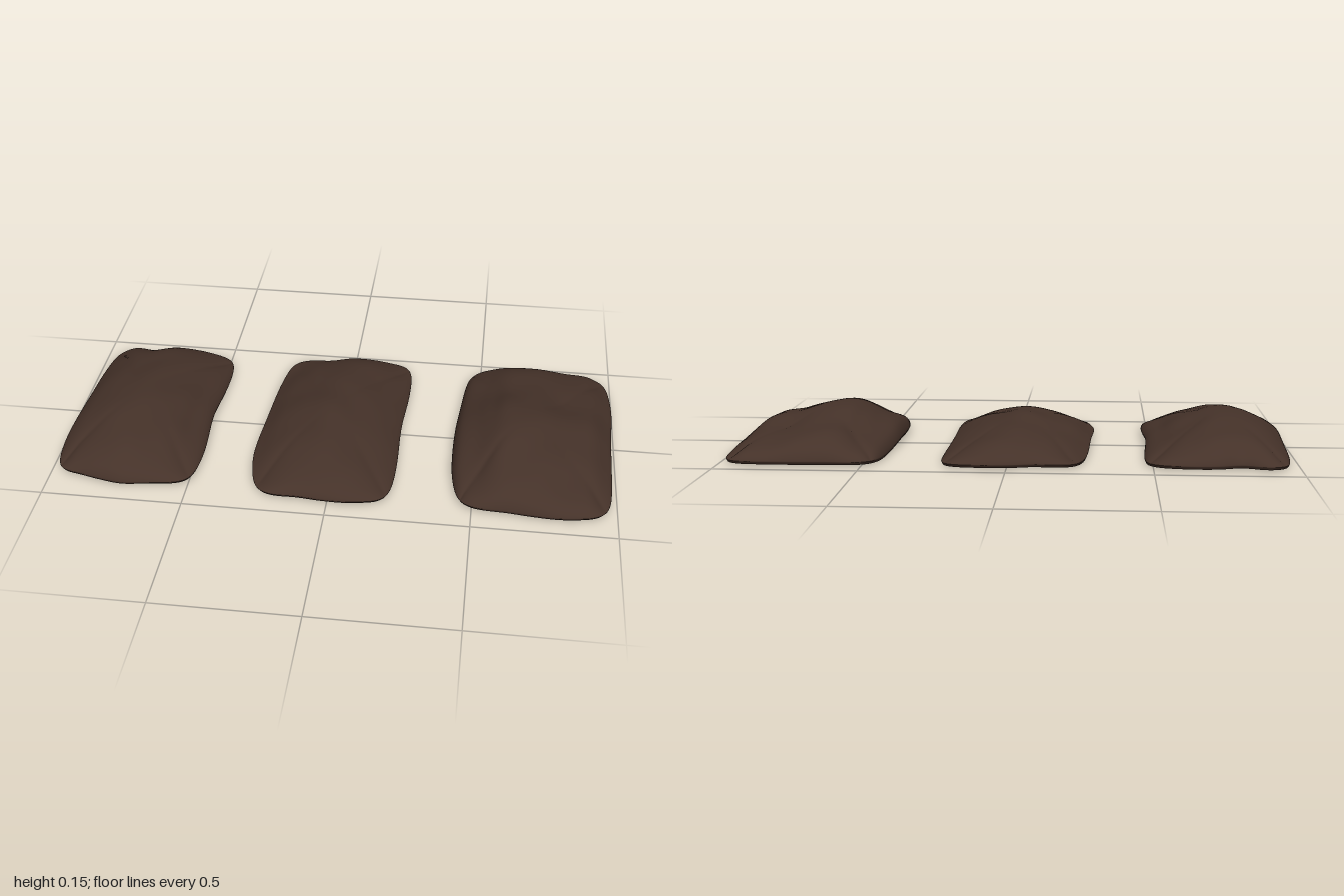
import * as THREE from 'three';
import { mergeVertices } from 'three/addons/utils/BufferGeometryUtils.js';

const material = new THREE.MeshStandardMaterial({ color: 0x453229 });

// Smooth function over s = -1..1 through evenly spaced values
function profile(values) {
  const curve = new THREE.SplineCurve(values.map((v, i) => new THREE.Vector2(i, v)));
  return s => curve.getPoint(THREE.MathUtils.clamp((s + 1) / 2, 0, 1)).y;
}

// Underside height from back to front
const underside = profile([0.006, 0.001, 0.006, 0.015, 0.014, 0.011, 0.011]);

// Each mound: outline edges (left/right over z, back/front over x) and height
// profiles sampled at u = sin(s * PI / 2), so they are dense near the rim
const mounds = [
  {
    name: 'rightMound', seed: 1.3,
    minX: [-0.965, -0.98, -0.985, -0.995, -0.985], maxX: [-0.47, -0.475, -0.485, -0.475, -0.48],
    back: [-0.425, -0.43, -0.405, -0.43, -0.435, -0.425, -0.41], front: [0.395, 0.4, 0.42, 0.435, 0.425, 0.415, 0.405],
    across: [0.02, 0.05, 0.09, 0.122, 0.132, 0.108, 0.077, 0.045, 0.02],
    along: [0, 0.4, 0.8, 0.95, 1, 0.95, 0.75, 0.4, 0],
    dent: [-0.54, 0.02, 0.03, 0.25, -0.01],
  },
  {
    name: 'middleMound', seed: 2.9,
    minX: [-0.255, -0.275, -0.285, -0.295, -0.27], maxX: [0.235, 0.232, 0.222, 0.225, 0.22],
    back: [-0.43, -0.435, -0.43, -0.45, -0.455, -0.45, -0.445], front: [0.425, 0.435, 0.435, 0.443, 0.445, 0.435, 0.425],
    across: [0.02, 0.035, 0.067, 0.097, 0.115, 0.1, 0.07, 0.04, 0.02],
    along: [0, 0.4, 0.8, 0.95, 1, 0.95, 0.75, 0.4, 0],
    dent: [0.06, 0.1, 0.05, 0.2, -0.005],
  },
  {
    name: 'leftMound', seed: 4.6,
    minX: [0.45, 0.435, 0.42, 0.42, 0.44], maxX: [0.99, 1.0, 0.99, 0.985, 0.98],
    back: [-0.43, -0.44, -0.44, -0.445, -0.445, -0.443, -0.435], front: [0.415, 0.425, 0.43, 0.44, 0.445, 0.435, 0.42],
    across: [0.02, 0.065, 0.097, 0.143, 0.138, 0.106, 0.09, 0.045, 0.02],
    along: [0, 0.42, 0.72, 0.82, 1, 0.94, 0.7, 0.4, 0],
    dent: [0.56, -0.08, 0.025, 0.12, -0.007],
  },
];

function moundGeometry(m) {
  const [minX, maxX, back, front, across, along] =
    [m.minX, m.maxX, m.back, m.front, m.across, m.along].map(profile);
  const box = new THREE.BoxGeometry(2, 1, 2, 56, 1, 72);
  box.deleteAttribute('uv');
  box.deleteAttribute('normal');
  const geometry = mergeVertices(box);
  const pos = geometry.attributes.position;
  const [dx, dz, wx, wz, depth] = m.dent;

  for (let i = 0; i < pos.count; i++) {
    const s = pos.getX(i), t = pos.getZ(i), top = pos.getY(i) > 0;
    let u = Math.sin(s * Math.PI / 2), v = Math.sin(t * Math.PI / 2);

    // Round the corners of the slab
    const n = 9, norm = Math.pow(Math.abs(u) ** n + Math.abs(v) ** n, 1 / n);
    let k = norm > 0 ? Math.max(Math.abs(u), Math.abs(v)) / norm : 1;
    if (!top) k *= 0.985;
    u *= k;
    v *= k;
    const x = THREE.MathUtils.lerp(minX(v), maxX(v), (u + 1) / 2);
    const z = THREE.MathUtils.lerp(back(u), front(u), (v + 1) / 2);

    let y = underside(v);
    if (top) {
      // Dome, soft lengthwise folds and one shallow dent
      const inside = Math.cos(s * Math.PI / 2) * Math.cos(t * Math.PI / 2);
      const fold = Math.sin(x * 34 + 1.5 * Math.sin(z * 9 + m.seed)) * Math.cos(z * 8 + m.seed)
        + 0.7 * Math.sin(z * 27 + 2 * Math.sin(x * 11 + m.seed));
      const dent = depth * Math.exp(-(((x - dx) / wx) ** 2) - ((z - dz) / wz) ** 2);
      y += 0.009 + (across(s) - 0.02) * along(t) + inside * (0.0022 * fold + dent);
    }
    pos.setXYZ(i, x, y, z);
  }
  geometry.computeVertexNormals();
  return geometry;
}

export function createModel() {
  const group = new THREE.Group();
  group.name = 'mounds';
  for (const m of mounds) {
    const mesh = new THREE.Mesh(moundGeometry(m), material);
    mesh.name = m.name;
    group.add(mesh);
  }
  return group;
}
